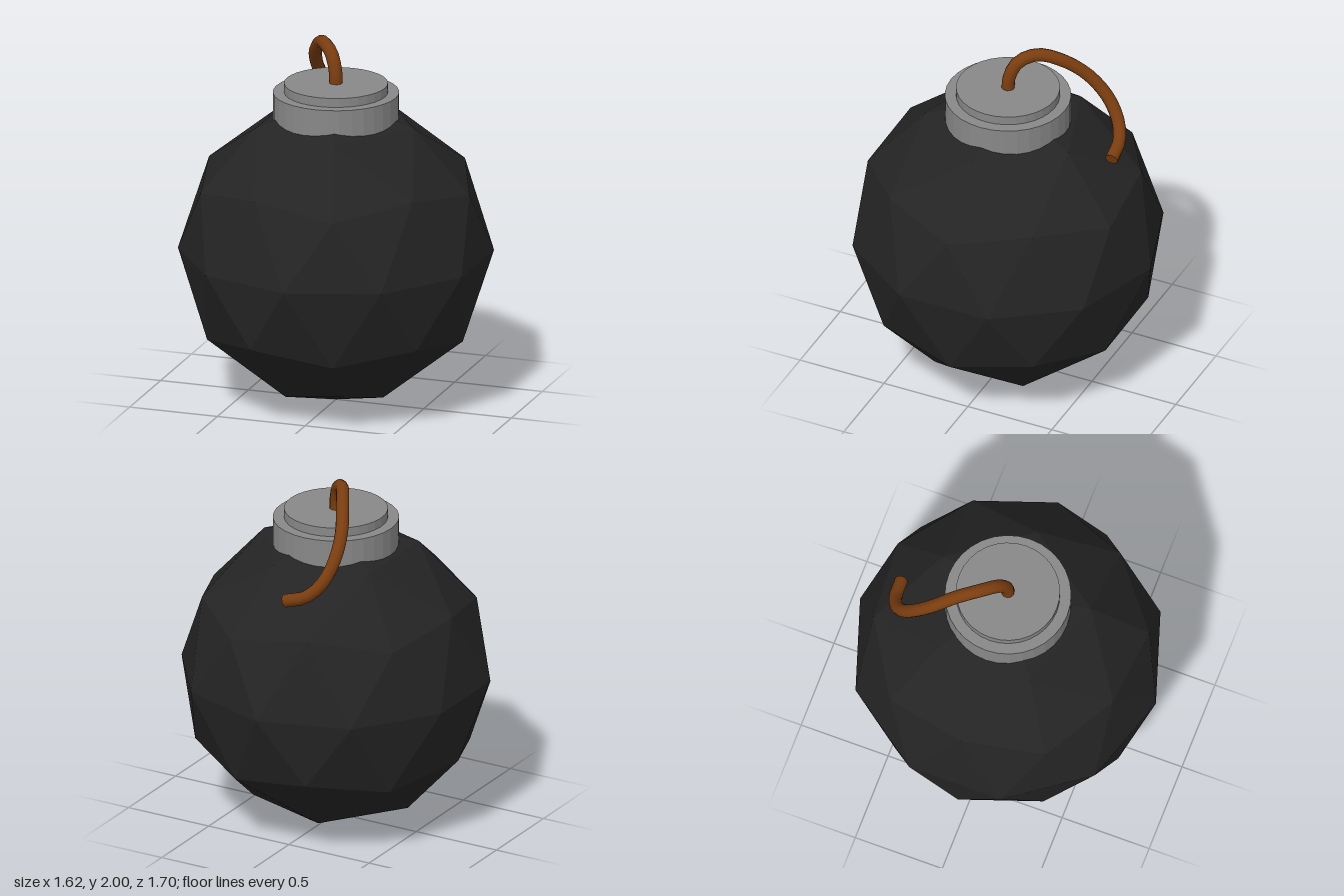
import * as THREE from 'three';

const material = (color, flatShading = true) =>
  new THREE.MeshStandardMaterial({ color, flatShading });

function part(name, geometry, mat) {
  const mesh = new THREE.Mesh(geometry, mat);
  mesh.name = name;
  return mesh;
}

// Upright disc between two heights
function disc(name, radius, bottom, top, mat) {
  const mesh = part(name, new THREE.CylinderGeometry(radius, radius, top - bottom, 32), mat);
  mesh.position.y = (bottom + top) / 2;
  return mesh;
}

export function createModel() {
  const group = new THREE.Group();
  group.name = 'bomb';

  // Faceted ball, turned so that a corner points straight up and down
  const R = 0.85;
  const ball = new THREE.IcosahedronGeometry(R, 1);
  ball.rotateZ(-Math.atan(2 / (1 + Math.sqrt(5))));
  const body = part('body', ball, material(0x242424));
  body.position.y = R;
  group.add(body);

  // Collar and the smaller lid on it
  const metal = material(0x888888);
  group.add(disc('collar', 0.34, 1.54, 1.735, metal));
  group.add(disc('lid', 0.28, 1.7, 1.785, metal));

  // Fuse arching up, back and down towards the ball
  const path = new THREE.CatmullRomCurve3([
    [0, 1.74, 0],
    [-0.005, 1.85, -0.005],
    [-0.04, 1.935, -0.04],
    [-0.11, 1.965, -0.12],
    [-0.175, 1.925, -0.23],
    [-0.245, 1.82, -0.36],
    [-0.262, 1.69, -0.475],
    [-0.225, 1.58, -0.55],
    [-0.15, 1.51, -0.59],
    [-0.035, 1.47, -0.6],
  ].map((p) => new THREE.Vector3(...p)));
  const r = 0.036;
  const rope = material(0x7a3d10, false);
  const fuse = new THREE.Group();
  fuse.name = 'fuse';
  fuse.add(part('fuseCord', new THREE.TubeGeometry(path, 24, r, 10), rope));

  // Flat caps close both ends of the cord
  for (const [name, t, sign] of [['fuseBase', 0, -1], ['fuseTip', 1, 1]]) {
    const cap = part(name, new THREE.CircleGeometry(r, 10), rope);
    const end = path.getPointAt(t);
    cap.position.copy(end);
    cap.lookAt(end.clone().addScaledVector(path.getTangentAt(t), sign));
    fuse.add(cap);
  }
  group.add(fuse);

  return group;
}
